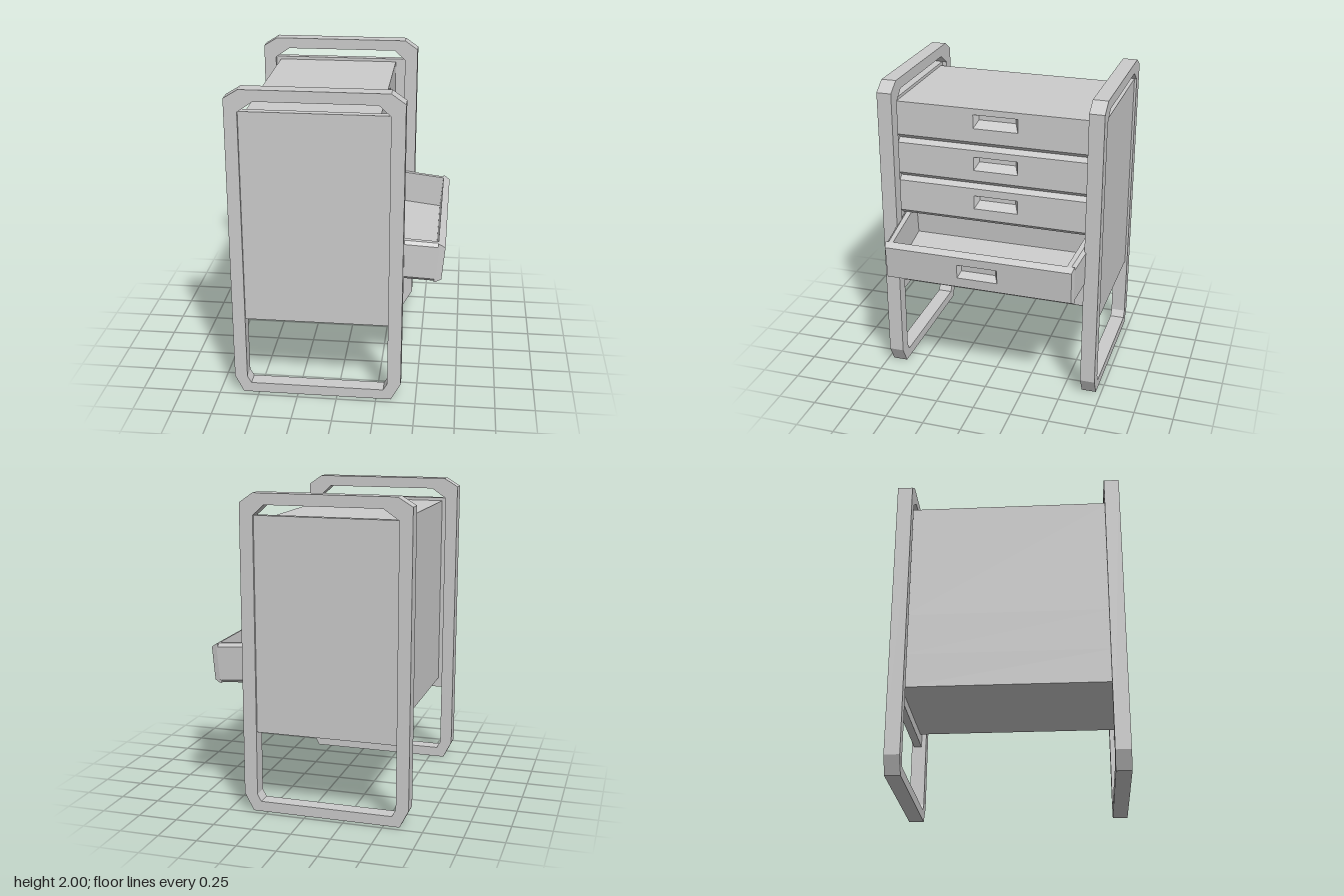
import * as THREE from 'three';

const material = new THREE.MeshStandardMaterial({ color: 0xcccccc, flatShading: true });

function add(parent, name, geometry) {
  const mesh = new THREE.Mesh(geometry, material);
  mesh.name = name;
  parent.add(mesh);
  return mesh;
}

// Box given by its limits
function box(parent, name, x0, x1, y0, y1, z0, z1) {
  const mesh = add(parent, name, new THREE.BoxGeometry(x1 - x0, y1 - y0, z1 - z0));
  mesh.position.set((x0 + x1) / 2, (y0 + y1) / 2, (z0 + z1) / 2);
}

// Skin over a row of four-cornered rings, closed at both ends
function loft(rings) {
  const pos = [];
  const quad = (a, b, c, d) => pos.push(...a, ...b, ...c, ...a, ...c, ...d);
  for (let k = 0; k < rings.length - 1; k++) {
    const a = rings[k], b = rings[k + 1];
    for (let i = 0; i < 4; i++) {
      const j = (i + 1) % 4;
      quad(a[i], a[j], b[j], b[i]);
    }
  }
  quad(...[...rings[0]].reverse());
  quad(...rings[rings.length - 1]);
  const geometry = new THREE.BufferGeometry();
  geometry.setAttribute('position', new THREE.Float32BufferAttribute(pos, 3));
  geometry.computeVertexNormals();
  return geometry;
}

// Upright ring facing +x, and level ring facing +y that may taper along x
const faceRing = (x, y0, y1, w) => [[x, y0, w], [x, y0, -w], [x, y1, -w], [x, y1, w]];
const levelRing = (y, x0, x1, w0, w1) => [[x0, y, w0], [x1, y, w1], [x1, y, -w1], [x0, y, -w0]];

// Drawer front with chamfered edges and a scooped finger pull
function drawerFront(x, y0, y1, w, back, bevel, pull) {
  return loft([
    faceRing(x - back, y0, y1, w),
    faceRing(x - bevel.depth, y0, y1, w),
    faceRing(x, y0 + bevel.bottom, y1 - bevel.top, w - bevel.side),
    faceRing(x, pull.y0, pull.y1, pull.w),
    faceRing(x - 0.045, pull.y0 + 0.045, pull.y1 - 0.012, pull.w - 0.025),
  ]);
}

const outline = (points) => points.map(([x, y]) => new THREE.Vector2(x, y));

export function createModel() {
  const model = new THREE.Group();
  model.name = 'drawerCabinet';

  // Chamfered loop frames with side panels
  const loop = new THREE.Shape(outline([
    [-0.6, 0], [0.345, 0], [0.405, 0.11], [0.405, 1.94],
    [0.32, 2], [-0.565, 2], [-0.655, 1.945], [-0.655, 0.11],
  ]));
  loop.holes.push(new THREE.Path(outline([
    [-0.55, 0.065], [-0.575, 0.11], [-0.575, 1.865], [-0.48, 1.93],
    [0.25, 1.93], [0.32, 1.865], [0.32, 0.11], [0.295, 0.065],
  ])));
  const frameGeometry = new THREE.ExtrudeGeometry(loop, { depth: 0.095, bevelEnabled: false });
  for (const [side, s] of [['left', 1], ['right', -1]]) {
    const frame = add(model, side + 'Frame', frameGeometry);
    frame.position.z = s > 0 ? 0.62 : -0.715;
    const [z0, z1] = s > 0 ? [0.65, 0.7] : [-0.7, -0.65];
    box(model, side + 'Panel', -0.575, 0.32, 0.515, 1.865, z0, z1);
  }

  // Cabinet body with a bay for the open drawer
  const W = 0.65;
  box(model, 'upperBody', -0.545, 0.21, 1.07, 1.845, -W, W);
  box(model, 'lowerBody', -0.545, 0.21, 0.58, 0.8, -W, W);
  box(model, 'bayBack', -0.545, -0.5, 0.8, 1.07, -W, W);

  // Closed drawers: bottom, top, lower chamfer, upper chamfer, top of pull
  const closed = [
    [1.595, 1.845, 0.03, 0, 1.805],
    [1.335, 1.595, 0.03, 0.025, 1.525],
    [1.07, 1.335, 0.03, 0.025, 1.26],
    [0.58, 0.8, 0, 0.025, 0.745],
  ];
  closed.forEach(([y0, y1, bottom, top, pullTop], i) => {
    add(model, 'closedDrawer' + (i + 1), drawerFront(0.255, y0, y1, W, 0.05,
      { depth: 0.035, bottom, top, side: 0 },
      { y0: pullTop - 0.09, y1: pullTop, w: 0.145 }));
  });

  // Open drawer, sagging slightly
  const drawer = new THREE.Group();
  drawer.name = 'openDrawer';
  drawer.position.set(0.645, 0.908, 0);
  drawer.rotation.z = -0.09;
  model.add(drawer);
  add(drawer, 'openDrawerFront', drawerFront(0, -0.125, 0.128, 0.61, 0.045,
    { depth: 0.035, bottom: 0.02, top: 0.02, side: 0.01 },
    { y0: -0.04, y1: 0.053, w: 0.13 }));
  add(drawer, 'openDrawerTray', loft([
    levelRing(-0.125, -0.6, -0.035, 0.64, 0.59),
    levelRing(-0.105, -0.6, -0.035, 0.66, 0.61),
    levelRing(0.108, -0.6, -0.035, 0.66, 0.61),
    levelRing(0.128, -0.6, -0.035, 0.64, 0.59),
    levelRing(0.128, -0.55, -0.045, 0.6, 0.562),
    levelRing(-0.085, -0.55, -0.045, 0.6, 0.562),
  ]));

  return model;
}
